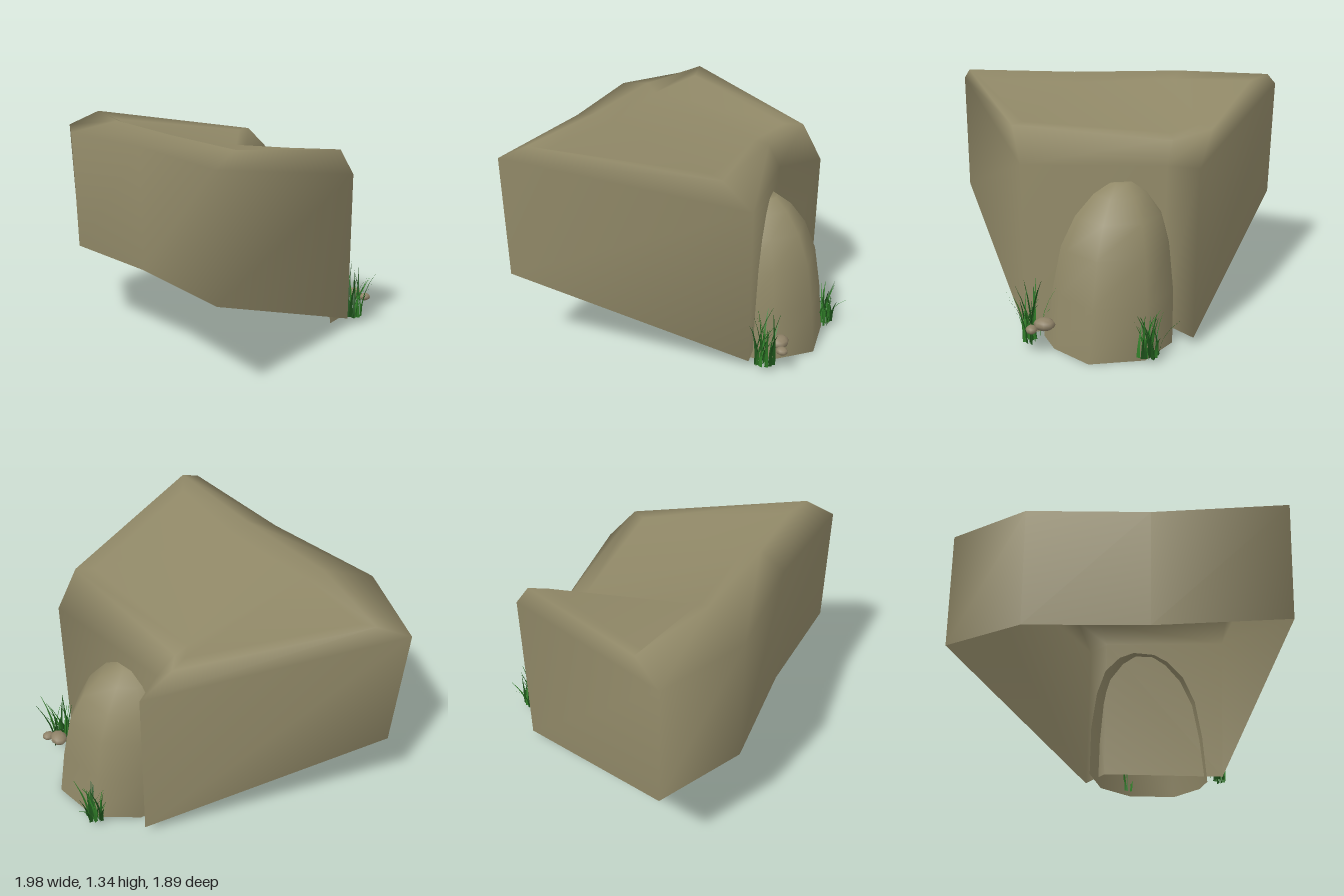
import * as THREE from 'three';

const mat = (name, color, side = THREE.FrontSide) => {
  const m = new THREE.MeshStandardMaterial({ color, side });
  m.name = name;
  return m;
};

function buildGeometry(points, idx) {
  const g = new THREE.BufferGeometry();
  g.setAttribute('position', new THREE.Float32BufferAttribute(points.flat(), 3));
  g.setIndex(idx.flat());
  g.computeVertexNormals();
  return g;
}

// Joins equal-length rings (counter-clockwise from above) with walls, then adds top triangles.
function loft(rings, topTris, closed) {
  const n = rings[0].length, idx = [];
  for (let r = 0; r < rings.length - 1; r++) {
    for (let i = 0; i < (closed ? n : n - 1); i++) {
      const a = r * n + i, b = r * n + (i + 1) % n;
      idx.push([a, b, b + n], [a, b + n, a + n]);
    }
  }
  const top = (rings.length - 1) * n;
  topTris.forEach((t) => idx.push(t.map((i) => top + i)));
  return buildGeometry(rings.flat(), idx);
}

const fan = (n) => Array.from({ length: n - 2 }, (_, i) => [0, i + 1, i + 2]);

function seeded(seed) {
  return () => {
    seed = (seed * 16807) % 2147483647;
    return seed / 2147483647;
  };
}

// One curved, tapering blade as a narrow strip
function bladeGeometry(height, lean, angle, width) {
  const pts = [], idx = [], steps = 4;
  const c = Math.cos(angle), s = Math.sin(angle);
  for (let i = 0; i <= steps; i++) {
    const t = i / steps, out = lean * t * t, y = height * t - 0.2 * lean * t * t;
    const w = width * (1 - t * 0.92) / 2;
    pts.push([c * out - s * w, y, s * out + c * w], [c * out + s * w, y, s * out - c * w]);
    if (i < steps) idx.push([2 * i, 2 * i + 1, 2 * i + 3], [2 * i, 2 * i + 3, 2 * i + 2]);
  }
  return buildGeometry(pts, idx);
}

export function createModel() {
  const model = new THREE.Group();
  const rock = mat('rock brown', 0x908867, THREE.DoubleSide);
  const pebble = mat('pebble brown', 0x8f8268);
  const greens = [
    mat('grass green', 0x2f7c27, THREE.DoubleSide),
    mat('dark grass green', 0x1d521a, THREE.DoubleSide),
  ];
  const add = (parent, name, geo, material) => {
    const m = new THREE.Mesh(geo, material);
    m.name = name;
    parent.add(m);
    return m;
  };

  // Overhanging main boulder: a hollow shell, open below, with sloping upper corners
  const foot = [
    [-0.97, 0.53, -0.95], [-0.95, 0.53, -0.4], [-0.56, 0.53, 0.21], [-0.21, 0.53, 0.92],
    [0.78, 0.05, -0.09], [0.32, 0.05, -0.72], [0.42, 0.05, -0.95],
  ];
  const rim = [
    [-1, 1.25, -0.95], [-0.97, 1.27, -0.41], [-0.57, 1.27, 0.21], [-0.22, 1.26, 0.94],
    [0.78, 1.02, -0.07], [0.3, 0.98, -0.72], [0.42, 1.02, -0.95],
  ];
  const crown = [
    [-0.8, 1.34, -0.95], [-0.68, 1.34, -0.41], [-0.38, 1.33, 0.2], [-0.1, 1.34, 0.82],
    [0.66, 1.2, 0.05], [0.2, 1.1, -0.71], [0.25, 1.2, -0.95],
  ];
  // the top dips a little inside the crown and forms a shallow valley
  const dip = [
    [-0.74, 1.3, -0.86], [-0.58, 1.3, -0.4], [-0.28, 1.28, 0.15], [-0.08, 1.29, 0.7],
    [0.55, 1.2, 0.04], [0.12, 1.12, -0.66], [0.17, 1.2, -0.86],
  ];
  const topTris = [[0, 1, 6], [1, 5, 6], [1, 2, 5], [2, 4, 5], [2, 3, 4]];
  add(model, 'mainBoulder', loft([foot, rim, crown, dip], topTris, true), rock);

  // Domed side boulder: an outer shell leaning into the flank, open on its buried side
  const plan = [
    [0.68, -0.15], [0.8, -0.28], [0.88, -0.53], [0.7, -0.78], [0.43, -0.83], [0.13, -0.7],
  ];
  // height, scale, lean
  const levels = [
    [0, 1, 0], [0.3, 0.96, 0.03], [0.55, 0.86, 0.05],
    [0.72, 0.69, 0.08], [0.84, 0.43, 0.1], [0.9, 0.18, 0.11],
  ];
  const rings = levels.map(([y, s, lean]) =>
    plan.map(([x, z]) => [0.55 - lean + (x - 0.55) * s, y, -0.5 + (z + 0.5) * s]));
  add(model, 'sideBoulder', loft(rings, fan(plan.length), false), rock);

  // Two pebbles
  [[0.865, 0.17, -0.255, 0.05, 0.035, 0.06], [0.928, 0.155, -0.21, 0.037, 0.024, 0.032]]
    .forEach(([x, y, z, sx, sy, sz]) => {
      const p = add(model, 'pebble', new THREE.SphereGeometry(1, 8, 6), pebble);
      p.position.set(x, y, z);
      p.scale.set(sx, sy, sz);
      p.rotation.y = 0.4;
    });

  // Grass tufts
  const rand = seeded(71);
  [[0.84, 0.045, -0.15, 0.38], [0.7, 0.03, -0.8, 0.28]].forEach(([x, y, z, tall]) => {
    const tuft = new THREE.Group();
    tuft.name = 'grassTuft';
    tuft.position.set(x, y, z);
    for (let i = 0; i < 24; i++) {
      const h = tall * (0.5 + 0.5 * rand());
      const geo = bladeGeometry(h, 0.03 + 0.08 * rand(), i * 2.4 + rand(), 0.022);
      const blade = add(tuft, 'grassBlade', geo, greens[i % 2]);
      blade.position.set((rand() - 0.5) * 0.11, 0, (rand() - 0.5) * 0.09);
    }
    model.add(tuft);
  });

  return model;
}
